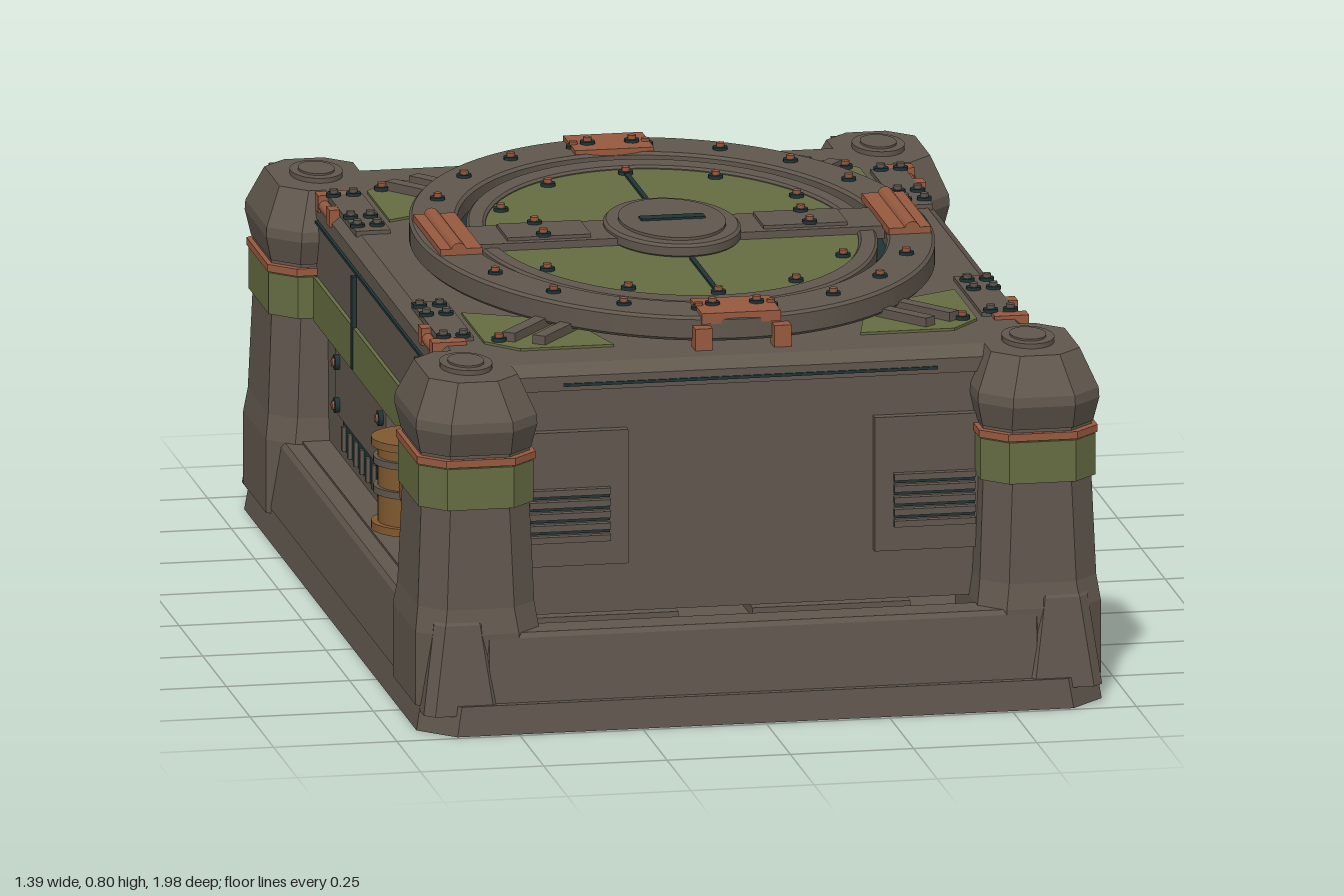
import * as THREE from 'three';

const mat = (name, color) => Object.assign(new THREE.MeshStandardMaterial({ color }), { name });

export function createModel() {
  const root = new THREE.Group();
  root.name = 'armouredHatchCrate';
  const steel = mat('brownSteel', 0x60574d), green = mat('oliveGreen', 0x656c42), copper = mat('copper', 0x96593f);
  const dark = mat('darkTeal', 0x1f3436), ochre = mat('ochre', 0x80592f);

  const add = (name, m, geo, x = 0, y = 0, z = 0) => {
    const mesh = new THREE.Mesh(geo, m);
    mesh.name = name;
    mesh.position.set(x, y, z);
    root.add(mesh);
    return mesh;
  };
  const box = (name, m, w, h, d, x, y, z) => add(name, m, new THREE.BoxGeometry(w, h, d), x, y, z);
  const rod = (name, m, r, len, axis, x, y, z, n = 12) => {
    const g = new THREE.CylinderGeometry(r, r, len, n);
    if (axis === 'x') g.rotateZ(Math.PI / 2);
    if (axis === 'z') g.rotateX(Math.PI / 2);
    return add(name, m, g, x, y, z);
  };

  // Stacked chamfered rectangles: rows of [y, halfX, halfZ, chamfer, offsetX, offsetZ]
  const loft = (name, m, rows, x = 0, z = 0) => {
    const pos = [], idx = [];
    for (const [y, a, b, c, ox = 0, oz = 0] of rows)
      for (const [px, pz] of [[a, -b + c], [a, b - c], [a - c, b], [-a + c, b], [-a, b - c], [-a, -b + c], [-a + c, -b], [a - c, -b]])
        pos.push(px + ox, y, pz + oz);
    const top = (rows.length - 1) * 8;
    for (let r = 0; r < rows.length - 1; r++)
      for (let i = 0; i < 8; i++) {
        const p = r * 8 + i, q = r * 8 + (i + 1) % 8;
        idx.push(p, p + 8, q, q, p + 8, q + 8);
      }
    for (let i = 1; i < 7; i++) idx.push(0, i, i + 1, top, top + i + 1, top + i);
    const g = new THREE.BufferGeometry();
    g.setAttribute('position', new THREE.Float32BufferAttribute(pos, 3));
    g.setIndex(idx);
    const flat = g.toNonIndexed();
    flat.computeVertexNormals();
    return add(name, m, flat, x, 0, z);
  };

  // Horizontal plate cut from a shape, between two heights
  const plate = (name, m, shape, y0, y1, bevel = 0) => {
    const g = new THREE.ExtrudeGeometry(shape, {
      depth: y1 - y0 - 2 * bevel, curveSegments: 64, bevelEnabled: bevel > 0,
      bevelThickness: bevel, bevelSize: bevel, bevelOffset: -bevel, bevelSegments: 1
    });
    g.rotateX(Math.PI / 2);
    return add(name, m, g, 0, y1 - bevel, 0);
  };
  const ellipse = (rx, rz, hx, hz) => {
    const s = new THREE.Shape().absellipse(0, 0, rx, rz, 0, Math.PI * 2);
    if (hx) s.holes.push(new THREE.Path().absellipse(0, 0, hx, hz, 0, Math.PI * 2));
    return s;
  };
  const bolt = (x, y, z, m = copper) => {
    rod('boltWasher', dark, 0.015, 0.008, 'y', x, y + 0.004, z, 10);
    rod('bolt', m, 0.009, 0.016, 'y', x, y + 0.008, z, 6);
  };

  // Base tray and rails
  loft('basePlate', steel, [[0, 0.695, 0.98, 0.07, 0, 0.01], [0.06, 0.685, 0.975, 0.07, 0, 0.01]]);
  loft('frontRail', steel, [[0.06, 0.56, 0.05, 0.005], [0.19, 0.56, 0.04, 0.005], [0.2, 0.56, 0.034, 0.005]], 0, 0.92);
  for (const s of [-1, 1]) {
    loft('sideRail', steel, [[0.06, 0.05, 0.72, 0.01], [0.19, 0.04, 0.72, 0.01, -s * 0.008], [0.2, 0.033, 0.72, 0.01, -s * 0.008]], s * 0.637, 0);
    box('sideLedge', steel, 0.1, 0.03, 1.4, s * 0.58, 0.19, 0);
  }
  for (let i = -4; i <= 4; i++) box('troughVent', i % 2 ? dark : steel, 0.07, 0.03, 0.03, i * 0.1, 0.085, 0.85);

  // Hollow body: walls, roof, front panels
  box('frontWall', steel, 1.1, 0.46, 0.06, 0, 0.43, 0.79);
  loft('roofDeck', steel, [[0.66, 0.6, 0.83, 0.04], [0.69, 0.6, 0.83, 0.04], [0.71, 0.575, 0.8, 0.04]]);
  box('frontTopSeam', dark, 0.76, 0.006, 0.01, 0, 0.672, 0.828);
  for (const s of [-1, 1]) {
    box('frontVentPanel', steel, 0.23, 0.275, 0.03, s * 0.365, 0.44, 0.825);
    for (let i = 0; i < 5; i++) box('louver', steel, 0.165, 0.013, 0.02, s * 0.37, 0.36 + i * 0.024, 0.845);
    for (let i = 0; i < 4; i++) box('louverSlot', dark, 0.165, 0.005, 0.006, s * 0.37, 0.372 + i * 0.024, 0.84);
    box('sideWall', steel, 0.05, 0.48, 1.45, s * 0.55, 0.43, 0.05);
    box('upperSidePanel', steel, 0.03, 0.22, 1.3, s * 0.583, 0.555, 0.01);
    box('sideGreenStripe', green, 0.008, 0.09, 1.28, s * 0.602, 0.495, 0.01);
    box('sideTopSeam', dark, 0.01, 0.006, 1.26, s * 0.6, 0.656, 0.01);
    for (const z of [0.45, -0.22]) box('sideSlot', dark, 0.009, 0.19, 0.016, s * 0.604, 0.55, z);
    for (const [z, w] of [[0.36, 0.3], [-0.18, 0.54]]) {
      box('lowerSidePanel', steel, 0.025, 0.13, w, s * 0.585, 0.375, z);
      for (const e of [-1, 1]) for (const y of [0.332, 0.42]) {
        rod('panelBoltRing', dark, 0.016, 0.012, 'x', s * 0.601, y, z + e * (w / 2 - 0.04));
        rod('panelBolt', copper, 0.009, 0.02, 'x', s * 0.602, y, z + e * (w / 2 - 0.04), 6);
      }
    }
    box('sideGrille', dark, 0.016, 0.065, 1.0, s * 0.583, 0.277, 0.1);
    for (let i = 0; i < 16; i++) box('grilleRib', steel, 0.014, 0.05, 0.012, s * 0.592, 0.272, -0.37 + i * 0.063);

    // Cable spool and hoses
    for (const [m, r, h, y] of [[ochre, 0.075, 0.16, 0.375], [ochre, 0.088, 0.016, 0.462], [steel, 0.084, 0.014, 0.425], [steel, 0.084, 0.014, 0.365], [ochre, 0.088, 0.016, 0.29]])
      rod('cableSpool', m, r, h, 'y', s * 0.597, y, 0.395, 24);
    for (let i = 0; i < 3; i++) {
      const z = 0.62 - i * 0.022;
      const path = new THREE.CatmullRomCurve3([[0.58, 0.67, z], [0.63, 0.62, z], [0.635, 0.5, z - 0.01], [0.64, 0.38, z - 0.04 - i * 0.02], [0.61, 0.29, 0.49]].map(([x, y, w]) => new THREE.Vector3(s * x, y, w)));
      add('hose', ochre, new THREE.TubeGeometry(path, 20, 0.009, 7));
    }
    box('hoseClamp', copper, 0.03, 0.03, 0.09, s * 0.625, 0.57, 0.595);

    // Roof edge hinges
    for (const e of [-1, 1]) {
      rod('hingeRod', copper, 0.012, 0.15, 'z', s * 0.592, 0.695, e * 0.545);
      for (const z of [0.485, 0.605]) box('hingeBlock', copper, 0.07, 0.035, 0.035, s * 0.57, 0.7, e * z);
      box('hingePlate', steel, 0.07, 0.012, 0.3, s * 0.55, 0.712, e * 0.44);
      for (const z of [0.33, 0.4, 0.58]) for (const x of [0.535, 0.575]) bolt(s * x, 0.716, e * z, steel);
    }
  }

  // Corner posts
  for (const sx of [-1, 1]) for (const sz of [-1, 1]) {
    const x = sx * 0.57, z = sz * 0.79;
    loft('cornerPost', steel, [[0.05, 0.125, 0.17, 0.05], [0.2, 0.125, 0.17, 0.05], [0.25, 0.118, 0.158, 0.05], [0.45, 0.11, 0.15, 0.05], [0.57, 0.11, 0.15, 0.05]], x, z);
    loft('postGreenBand', green, [[0.455, 0.117, 0.158, 0.05], [0.54, 0.117, 0.158, 0.05]], x, z);
    loft('postCopperBand', copper, [[0.543, 0.12, 0.161, 0.05], [0.558, 0.12, 0.161, 0.05]], x, z);
    loft('postCap', steel, [[0.565, 0.112, 0.155, 0.05], [0.615, 0.123, 0.175, 0.06], [0.635, 0.122, 0.173, 0.06], [0.71, 0.09, 0.13, 0.05]], x, z);
    const disc = rod('postCapDisc', steel, 0.052, 0.012, 'y', x, 0.714, z, 32);
    disc.scale.z = 1.45;
    const inner = rod('postCapDiscCentre', steel, 0.036, 0.006, 'y', x, 0.721, z, 32);
    inner.scale.z = 1.45;
    loft('postFoot', steel, [[0.04, 0.08, 0.05, 0.02], [0.22, 0.055, 0.04, 0.02, 0, -sz * 0.012], [0.24, 0.05, 0.03, 0.02, 0, -sz * 0.018]], sx * 0.608, sz * 0.93);

    // Green corner plate with diagonal ribs
    const pts = [[0.25, 0.69], [0.44, 0.69], [0.5, 0.62], [0.5, 0.38], [0.3, 0.48]].map(([a, b]) => new THREE.Vector2(sx * a, sz * b));
    plate('greenCornerPlate', green, new THREE.Shape(pts), 0.706, 0.715);
    for (const [a, b] of [[0.345, 0.595], [0.4, 0.56]])
      box('diagonalRib', steel, 0.028, 0.022, 0.17, sx * a, 0.722, sz * b).rotation.y = sx * sz * 0.66;
    bolt(sx * 0.47, 0.715, sz * 0.62);
  }

  // Oval hatch on the roof
  plate('hatchSeat', dark, ellipse(0.47, 0.66), 0.705, 0.735);
  plate('hatchRing', steel, ellipse(0.515, 0.735, 0.42, 0.607), 0.722, 0.772, 0.006);
  plate('hatchRim', steel, ellipse(0.402, 0.585, 0.365, 0.525), 0.72, 0.765, 0.005);
  plate('hatchGreenPlate', green, ellipse(0.372, 0.532), 0.73, 0.758);
  box('hatchCrossBar', steel, 0.84, 0.026, 0.15, 0, 0.76, 0);
  for (const s of [-1, 1]) {
    box('crossBarPad', steel, 0.17, 0.016, 0.115, s * 0.26, 0.772, 0);
    box('hatchSeam', dark, 0.01, 0.006, 0.28, 0, 0.76, s * 0.35);
    box('hatchEndClasp', copper, 0.16, 0.022, 0.125, 0, 0.769, s * 0.67);
    for (const x of [-0.08, 0.08]) box('claspLeg', copper, 0.035, 0.045, 0.04, x, 0.732, s * 0.735);
    for (const x of [-0.045, 0.045]) bolt(x, 0.778, s * 0.66);
    rod('sideGripBar', copper, 0.016, 0.29, 'z', s * 0.46, 0.781, 0);
    box('sideGripPlate', copper, 0.085, 0.016, 0.29, s * 0.455, 0.777, 0);
    for (const z of [-0.03, 0.03]) bolt(s * 0.27, 0.778, z * 1.6);
  }
  plate('hatchHub', steel, ellipse(0.135, 0.195), 0.755, 0.784, 0.006);
  plate('hatchHubCap', steel, ellipse(0.105, 0.16), 0.78, 0.79);
  box('hubSlot', dark, 0.13, 0.006, 0.028, 0, 0.791, 0);
  for (let i = 0; i < 20; i++) {
    const a = (i + 0.5) / 20 * Math.PI * 2;
    if (Math.abs(Math.cos(a)) < 0.96) bolt(Math.cos(a) * 0.468, 0.77, Math.sin(a) * 0.67);
  }
  for (const sx of [-1, 1]) for (const sz of [-1, 1])
    for (const [x, z] of [[0.17, 0.425], [0.3, 0.245]]) bolt(sx * x, 0.757, sz * z);
  for (const z of [-0.49, 0.49]) bolt(0, 0.757, z);

  // Open rear: twin bays with ribbed floors, frame and divider
  box('bayFloor', steel, 1.06, 0.02, 1.7, 0, 0.07, -0.08);
  box('bayDivider', steel, 0.03, 0.57, 1.1, 0, 0.37, -0.2);
  box('rearBeam', steel, 0.96, 0.05, 0.07, 0, 0.645, -0.76);
  box('rearCentrePost', steel, 0.09, 0.59, 0.06, 0, 0.37, -0.76);
  box('rearSill', steel, 0.12, 0.06, 0.15, 0, 0.09, -0.88);
  for (const s of [-1, 1]) {
    box('rearSidePost', steel, 0.06, 0.59, 0.08, s * 0.44, 0.37, -0.76);
    box('bayInnerPost', steel, 0.05, 0.58, 0.06, s * 0.5, 0.37, -0.2);
    box('bayTread', steel, 0.32, 0.02, 1.4, s * 0.235, 0.09, -0.24);
    for (let i = 0; i < 22; i++) box('treadRib', i % 2 ? steel : dark, 0.29, 0.012, 0.026, s * 0.235, 0.104, -0.9 + i * 0.062);
    for (const x of [0.082, 0.388]) box('treadEdge', dark, 0.014, 0.03, 0.16, s * x, 0.095, -0.9);
    box('rearStep', dark, 0.32, 0.055, 0.045, s * 0.235, 0.075, -0.965);
    box('stepGrip', dark, 0.3, 0.02, 0.03, s * 0.235, 0.108, -0.96);
    for (const x of [0.06, 0.415]) {
      box('bayLatch', copper, 0.035, 0.13, 0.04, s * x, 0.19, -0.8);
      box('latchTab', copper, 0.03, 0.05, 0.03, s * x, 0.17, -0.825);
    }

    // Rear post fittings
    box('rearControlPlate', dark, 0.09, 0.15, 0.025, s * 0.57, 0.385, -0.95);
    box('rearControlBox', steel, 0.07, 0.06, 0.03, s * 0.57, 0.42, -0.958);
    box('rearLowerBox', steel, 0.09, 0.06, 0.03, s * 0.57, 0.265, -0.96);
    box('rearLampBracket', steel, 0.13, 0.05, 0.04, s * 0.57, 0.67, -0.935);
    box('rearClamp', copper, 0.1, 0.035, 0.03, s * 0.57, 0.56, -0.95);
    for (const dx of [-0.035, 0.035]) {
      rod('rearLamp', copper, 0.02, 0.045, 'z', s * 0.57 + dx, 0.67, -0.965);
      for (const y of [0.34, 0.27]) rod('rearKnob', y > 0.3 ? copper : dark, 0.016, 0.035, 'z', s * 0.57 + dx, y, -0.972);
    }
    rod('rearFootBolt', dark, 0.02, 0.02, 'z', s * 0.57, 0.06, -0.98);
  }
  return root;
}
